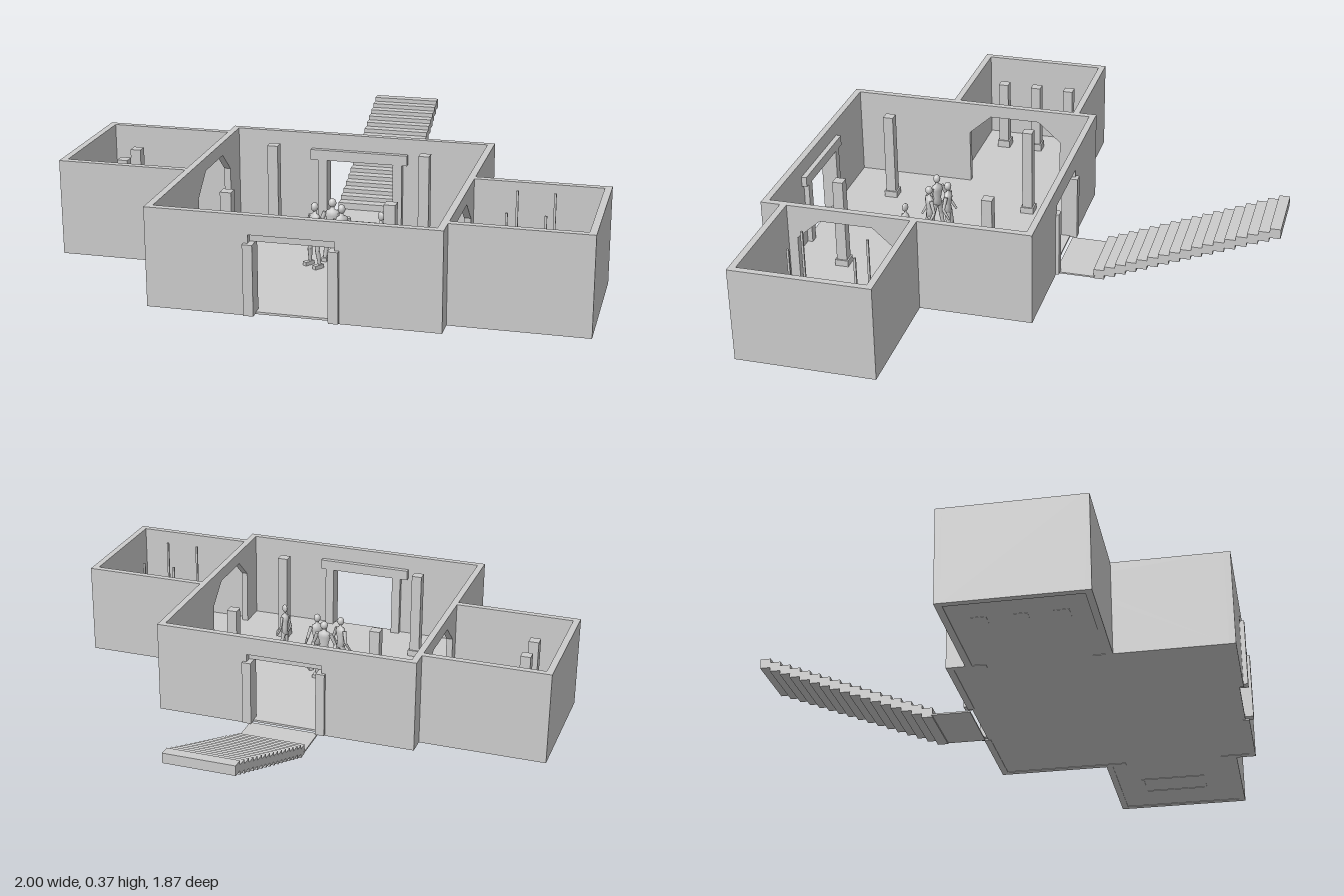
import * as THREE from 'three';

const material = new THREE.MeshStandardMaterial({ color: 0xcccccc, flatShading: true });
const smooth = new THREE.MeshStandardMaterial({ color: 0xcccccc });
const BASE = 0.01, TOP = 0.37, T = 0.025;

export function createModel() {
  const model = new THREE.Group();

  const add = (name, geometry, parent = model, mat = material) => {
    const mesh = new THREE.Mesh(geometry, mat);
    mesh.name = name;
    parent.add(mesh);
    return mesh;
  };

  // Box given by its minimum and maximum corners
  const box = (name, x0, x1, y0, y1, z0, z1, parent = model) => {
    const mesh = add(name, new THREE.BoxGeometry(x1 - x0, y1 - y0, z1 - z0), parent);
    mesh.position.set((x0 + x1) / 2, (y0 + y1) / 2, (z0 + z1) / 2);
    return mesh;
  };

  // Wall with a doorway that reaches the floor; doorway is a list of [along, up]
  const wall = (name, from, to, doorway) => {
    const points = [[from, BASE], ...doorway, [to, BASE], [to, TOP], [from, TOP]];
    const shape = new THREE.Shape(points.map(p => new THREE.Vector2(...p)));
    return add(name, new THREE.ExtrudeGeometry(shape, { depth: T, bevelEnabled: false }));
  };

  // Main hall floor and its front and back walls
  box('hallFloor', -0.5, 0.5, 0.012, 0.02, -0.09, 0.9);
  const gate = [[-0.15, BASE], [-0.15, 0.3], [0.15, 0.3], [0.15, BASE]];
  wall('frontWall', -0.515, 0.515, gate).position.z = 0.915 - T;
  wall('backWall', -0.515, 0.515, gate).position.z = -0.105;

  // Side walls of the hall, each with a chamfered archway
  for (const [side, centre] of [[-1, 0.23], [1, 0.59]]) {
    const arch = [[-0.19, BASE], [-0.19, 0.24], [-0.1, 0.32], [0.1, 0.32], [0.19, 0.24], [0.19, BASE]]
      .map(([z, y]) => [z + centre, y]);
    const mesh = wall(side < 0 ? 'rightHallWall' : 'leftHallWall', -0.08, 0.89, arch);
    mesh.rotation.y = -Math.PI / 2;
    mesh.position.x = side < 0 ? -0.515 + T : 0.515;
  }

  // Gate frames: posts through the wall and a lintel on the inside
  for (const [name, outer, dir] of [['frontGate', 0.932, -1], ['backGate', -0.118, 1]]) {
    const frame = new THREE.Group();
    frame.name = name;
    model.add(frame);
    const inner = outer + dir * 0.062;
    const [z0, z1] = [Math.min(outer, inner), Math.max(outer, inner)];
    box('gatePost', -0.165, -0.13, 0.015, 0.27, z0, z1, frame);
    box('gatePost', 0.13, 0.165, 0.015, 0.27, z0, z1, frame);
    const l = outer + dir * 0.042;
    box('gateLintel', -0.195, 0.185, 0.27, 0.31, Math.min(l, inner), Math.max(l, inner), frame);
  }

  // Side rooms: floor and three walls
  for (const [name, side, z0, z1] of [['rightRoom', -1, -0.035, 0.49], ['leftRoom', 1, 0.32, 0.84]]) {
    const room = new THREE.Group();
    room.name = name;
    model.add(room);
    const span = (a, b) => (side < 0 ? [-b, -a] : [a, b]);
    box('roomFloor', ...span(0.5, 0.985), 0.012, 0.02, z0 + 0.01, z1 - 0.01, room);
    box('roomBackWall', ...span(0.515, 1), BASE, TOP, z0, z0 + T, room);
    box('roomFrontWall', ...span(0.515, 1), BASE, TOP, z1 - T, z1, room);
    box('roomEndWall', ...span(1 - T, 1), BASE, TOP, z0 + T, z1 - T, room);
  }

  // Hall pillars on square bases
  for (const x of [-0.29, 0.29]) for (const z of [0.12, 0.695]) {
    box('pillar', x - 0.02, x + 0.02, 0.015, 0.374, z - 0.02, z + 0.02);
    box('pillarBase', x - 0.026, x + 0.026, 0.012, 0.045, z - 0.026, z + 0.026);
  }

  // Pedestals in the right room
  for (const z of [0.09, 0.23, 0.37]) {
    box('pedestal', -0.87, -0.83, 0.011, 0.31, z - 0.02, z + 0.02);
    box('pedestalBase', -0.876, -0.824, 0.011, 0.05, z - 0.026, z + 0.026);
  }

  // Slender enclosure in the left room: floor frame and corner rods
  for (const z of [0.44, 0.685]) {
    box('enclosureRail', 0.68, 0.82, 0.01, 0.028, z, z + 0.01);
    for (const x of [0.68, 0.812]) box('enclosureRod', x, x + 0.008, 0.02, TOP, z + 0.001, z + 0.009);
  }
  for (const x of [0.68, 0.81]) box('enclosureRail', x, x + 0.01, 0.01, 0.028, 0.45, 0.685);

  // Landing and rising stair behind the hall
  box('landing', -0.135, 0.14, 0.006, 0.012, -0.25, -0.1);
  const steps = 17, run = 0.69 / steps, rise = 0.265 / (steps - 1);
  for (let i = 0; i < steps; i++) {
    const z = -0.245 - i * run;
    box('stairStep', -0.133, 0.133, i * rise, i * rise + 0.038, z - run, z);
  }

  // Limb between two points
  const limb = (name, a, b, r0, r1, parent) => {
    const p = new THREE.Vector3(...a), q = new THREE.Vector3(...b);
    const mesh = add(name, new THREE.CylinderGeometry(r1, r0, p.distanceTo(q), 8), parent, smooth);
    mesh.position.copy(p).lerp(q, 0.5);
    mesh.quaternion.setFromUnitVectors(new THREE.Vector3(0, 1, 0), q.sub(p).normalize());
  };

  // Standing statue facing +z, feet at y = 0
  const statue = (x, z, turn, width) => {
    const g = new THREE.Group();
    g.name = 'statue';
    const profile = [[0, 0.112], [0.021, 0.116], [0.016, 0.145], [0.024, 0.18], [0.022, 0.197], [0.008, 0.205], [0.007, 0.22]];
    const torso = add('torso', new THREE.LatheGeometry(profile.map(p => new THREE.Vector2(...p)), 12), g, smooth);
    torso.scale.z = 0.65;
    const head = add('head', new THREE.SphereGeometry(0.014, 12, 8), g, smooth);
    head.position.y = 0.228;
    head.scale.y = 1.2;
    for (const s of [-1, 1]) {
      limb('thigh', [s * 0.021, 0.065, 0.006], [s * 0.011, 0.122, 0], 0.008, 0.012, g);
      limb('shin', [s * 0.026, 0.012, 0], [s * 0.021, 0.067, 0.006], 0.006, 0.009, g);
      limb('upperArm', [s * 0.042, 0.145, -0.006], [s * 0.025, 0.192, 0], 0.006, 0.008, g);
      limb('forearm', [s * 0.044, 0.108, 0.018], [s * 0.042, 0.147, -0.006], 0.004, 0.006, g);
      box('foot', s * 0.027 - 0.009, s * 0.027 + 0.009, -0.005, 0.016, -0.012, 0.028, g);
    }
    g.scale.x = width;
    g.rotation.y = turn;
    g.position.set(x, 0.018, z);
    model.add(g);
  };

  // Three statues standing back to back, and one apart
  statue(0, 0.365, Math.PI, 1.1);
  statue(-0.05, 0.425, -0.6, 1);
  statue(0.05, 0.425, 0.6, 1);
  statue(0.205, 0.47, 0.95, 0.6);

  return model;
}
